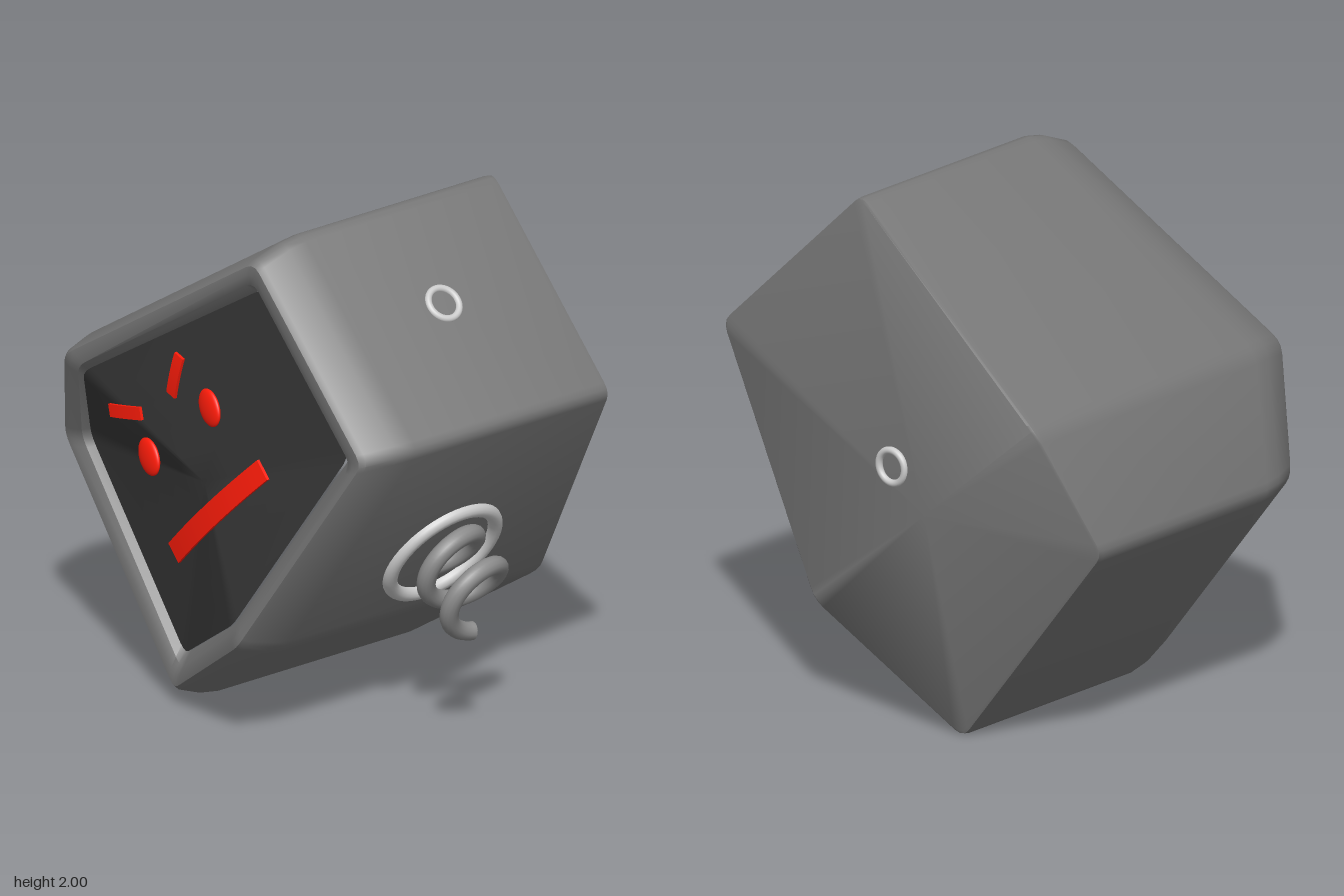
import * as THREE from 'three';
import { toCreasedNormals } from 'three/addons/utils/BufferGeometryUtils.js';

// Outline corners, counter-clockwise from the front: x, y, front z, back z
const CORNERS = [
  [0.26, 2.015, 0.55, -0.585], [-0.74, 1.34, 0.715, -0.715], [-0.955, 0.875, 0.55, -0.585],
  [-0.255, -0.015, 0.55, -0.585], [0.375, 0.415, 0.715, -0.715], [0.955, 1.35, 0.55, -0.585],
];
// Corners of the recessed face panel
const PANEL = [[0.24, 1.82], [-0.625, 1.25], [-0.78, 0.9], [-0.225, 0.2], [0.265, 0.515], [0.75, 1.31]];

// Closed loop with every corner replaced by a small arc
function roundLoop(points, r) {
  const out = [];
  points.forEach((p, i) => {
    const toward = (q) => p.clone().lerp(q, Math.min(0.4, r / p.distanceTo(q)));
    const a = toward(points[(i + points.length - 1) % points.length]);
    const b = toward(points[(i + 1) % points.length]);
    const curve = new THREE.QuadraticBezierCurve3(a, p, b);
    out.push(...curve.getPoints(3));
  });
  return out;
}

// Joins successive loops, ordered from back to front
function skin(loops, crease = 0.65) {
  const n = loops[0].length, index = [];
  for (let k = 0; k < loops.length - 1; k++) {
    for (let i = 0; i < n; i++) {
      const j = (i + 1) % n, a = k * n + i, b = k * n + j;
      index.push(a, b, b + n, a, b + n, a + n);
    }
  }
  const geo = new THREE.BufferGeometry().setFromPoints(loops.flat());
  geo.setIndex(index);
  return toCreasedNormals(geo, crease);
}

const outline = (scale, z) => CORNERS.map((c) =>
  new THREE.Vector3(c[0] * scale, 1 + (c[1] - 1) * scale, z(c)));
const panelLoop = (dz) => PANEL.map((p, i) => new THREE.Vector3(p[0], p[1], CORNERS[i][2] + dz));

export function createModel() {
  const group = new THREE.Group();
  const mat = (color) => new THREE.MeshStandardMaterial({ color });
  const bodyMat = mat(0x777777), panelMat = mat(0x363636), redMat = mat(0xff1c0a);
  const ringMat = mat(0xcccccc), springMat = mat(0x8c8c8c);
  redMat.side = THREE.DoubleSide;
  const add = (name, geo, material) => {
    const mesh = new THREE.Mesh(geo, material);
    mesh.name = name;
    group.add(mesh);
    return mesh;
  };

  // Body: ridged back, straight sides, bevelled front and raised rim
  const r = 0.045;
  const back = roundLoop(outline(0.985, (c) => c[3]), r);
  add('body', skin([
    back.map(() => new THREE.Vector3(-0.18, 0.885, -0.715)),
    back,
    roundLoop(outline(0.996, (c) => c[3] + 0.006), r),
    roundLoop(outline(1, (c) => c[3] + 0.025), r),
    roundLoop(outline(1, (c) => c[2] - 0.21), r),
    roundLoop(outline(0.985, (c) => c[2] - 0.13), r),
    roundLoop(outline(0.94, (c) => c[2] - 0.02), r),
    roundLoop(outline(0.92, (c) => c[2]), r),
    roundLoop(outline(0.88, (c) => c[2]), r),
    roundLoop(outline(0.835, (c) => c[2] - 0.015), r),
    roundLoop(panelLoop(-0.06), r),
  ]), bodyMat);

  // Dark saddle-shaped face panel
  const rim = roundLoop(panelLoop(-0.045), r);
  const centre = new THREE.Vector3(-0.01, 0.98, 0.585);
  add('facePanel', skin([1, 0.8, 0.6, 0.4, 0.2, 0].map((s) =>
    rim.map((p) => centre.clone().lerp(p, s))), 1.2), panelMat);

  // Eyes
  for (const [name, x, y, z] of [['leftEye', 0.04, 1.3, 0.6], ['rightEye', -0.275, 1.01, 0.635]]) {
    const eye = add(name, new THREE.SphereGeometry(1, 32, 20), redMat);
    eye.scale.set(0.076, 0.062, 0.02);
    eye.position.set(x, y, z);
    eye.rotation.set(-0.08, -0.1, -0.75);
  }

  // Brows and mouth: thin bars bent backwards toward the ends
  const bar = (name, x, y, z, length, width, angle, bend, slope = 0) => {
    const geo = new THREE.BoxGeometry(length, width, 0.012, 16, 1, 1);
    const p = geo.attributes.position;
    for (let i = 0; i < p.count; i++) {
      const t = p.getX(i) / (length / 2);
      p.setZ(i, p.getZ(i) - bend * t * t + slope * t);
    }
    geo.computeVertexNormals();
    const mesh = add(name, geo, redMat);
    mesh.position.set(x, y, z);
    mesh.rotation.z = angle;
  };
  bar('rightBrow', -0.388, 1.16, 0.66, 0.19, 0.05, 0.24, 0.004);
  bar('leftBrow', -0.13, 1.383, 0.63, 0.18, 0.05, 1.3, 0.004);
  bar('mouth', 0.128, 0.918, 0.655, 0.68, 0.085, 0.785, 0.028, -0.018);

  // Rings lying on the sides and the back
  const ring = (name, pos, normal, radius, tube) => {
    const mesh = add(name, new THREE.TorusGeometry(radius, tube, 16, 48), ringMat);
    mesh.position.set(...pos);
    mesh.quaternion.setFromUnitVectors(new THREE.Vector3(0, 0, 1), normal);
  };
  const axis = new THREE.Vector3(0.85, -0.52, 0).normalize();
  ring('springCollar', [0.565, 0.71, -0.09], axis, 0.232, 0.029);
  ring('sideRing', [0.573, 1.713, -0.09], new THREE.Vector3(0.69, 0.72, 0).normalize(), 0.064, 0.014);
  ring('backRing', [0, 1.03, -0.695], new THREE.Vector3(0, 0, -1), 0.064, 0.014);

  // Coil spring sticking out of the collar
  const up = new THREE.Vector3(0.52, 0.85, 0).normalize();
  const path = [];
  for (let i = 0; i <= 64; i++) {
    const t = i / 64, a = Math.PI * (4 * t - 3);
    path.push(new THREE.Vector3(0.575, 0.71, -0.09)
      .addScaledVector(axis, -0.04 + 0.32 * t)
      .addScaledVector(up, 0.135 * Math.cos(a))
      .add(new THREE.Vector3(0, 0, 0.135 * Math.sin(a))));
  }
  add('spring', new THREE.TubeGeometry(new THREE.CatmullRomCurve3(path), 128, 0.036, 14), springMat);
  const cap = add('springTip', new THREE.CircleGeometry(0.036, 14), springMat);
  cap.position.copy(path[64]);
  cap.quaternion.setFromUnitVectors(new THREE.Vector3(0, 0, 1),
    path[64].clone().sub(path[63]).normalize());
  return group;
}
